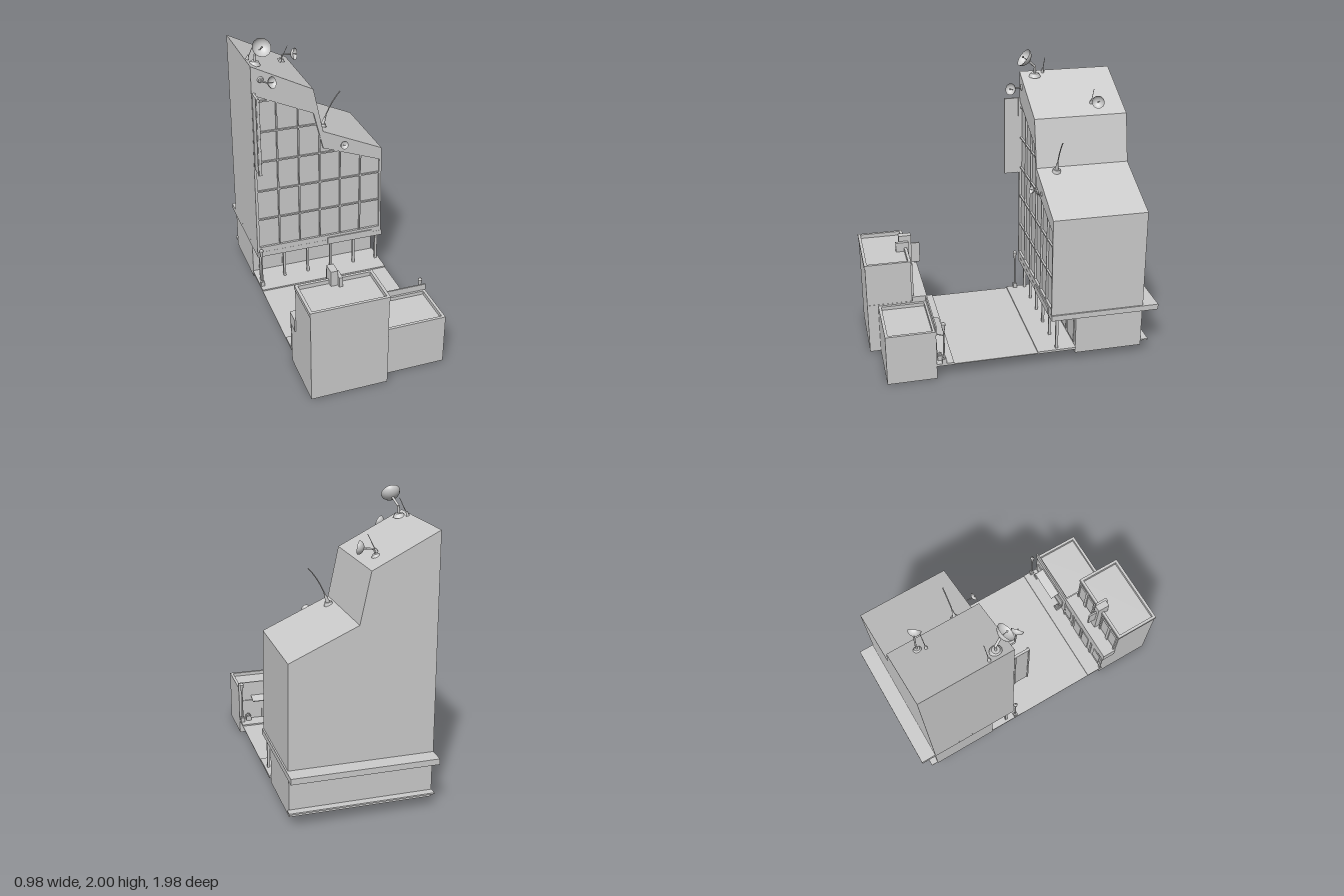
import * as THREE from 'three';

const mat = new THREE.MeshStandardMaterial({ color: 0xcccccc, flatShading: true, side: THREE.DoubleSide });
const smooth = new THREE.MeshStandardMaterial({ color: 0xcccccc, side: THREE.DoubleSide });

function add(parent, name, geo, m = mat) {
  const mesh = new THREE.Mesh(geo, m);
  mesh.name = name;
  parent.add(mesh);
  return mesh;
}

// Box from its limits on each axis
function block(parent, name, x0, x1, y0, y1, z0, z1) {
  const mesh = add(parent, name, new THREE.BoxGeometry(x1 - x0, y1 - y0, z1 - z0));
  mesh.position.set((x0 + x1) / 2, (y0 + y1) / 2, (z0 + z1) / 2);
  return mesh;
}

// Tapered rod between two points
function rod(parent, name, a, b, r0, r1 = r0) {
  const p = new THREE.Vector3(...a), d = new THREE.Vector3(...b).sub(p);
  const mesh = add(parent, name, new THREE.CylinderGeometry(r1, r0, d.length(), 8), smooth);
  mesh.position.copy(p).addScaledVector(d, 0.5);
  mesh.quaternion.setFromUnitVectors(new THREE.Vector3(0, 1, 0), d.normalize());
  return mesh;
}

// Building whose roof is sunk behind a parapet
function parapetBlock(parent, name, x0, x1, y0, y1, z0, z1, rim, sink, lip = 0) {
  const g = new THREE.Group();
  g.name = name;
  parent.add(g);
  block(g, 'walls', x0, x1, y0, y1 - sink, z0, z1);
  const [a, b, c, d] = [x0 - lip, x1 + lip, z0 - lip, z1 + lip];
  block(g, 'parapet', a, a + rim, y1 - sink, y1, c, d);
  block(g, 'parapet', b - rim, b, y1 - sink, y1, c, d);
  block(g, 'parapet', a + rim, b - rim, y1 - sink, y1, c, c + rim);
  block(g, 'parapet', a + rim, b - rim, y1 - sink, y1, d - rim, d);
}

// Dish with a foot, a bent arm and a feed horn
function dish(parent, foot, footNormal, centre, normal, r) {
  const g = new THREE.Group();
  g.name = 'satelliteDish';
  parent.add(g);
  const up = new THREE.Vector3(0, 1, 0);
  const n = new THREE.Vector3(...normal).normalize(), c = new THREE.Vector3(...centre);
  const profile = [];
  for (let i = 0; i <= 6; i++) {
    const t = (i / 6) * 1.45;
    profile.push(new THREE.Vector2(r * Math.sin(t), -r * 0.85 * Math.cos(t)));
  }
  const bowl = add(g, 'bowl', new THREE.LatheGeometry(profile, 16), smooth);
  bowl.position.copy(c);
  bowl.quaternion.setFromUnitVectors(up, n);
  const back = c.clone().addScaledVector(n, -r * 0.85);
  rod(g, 'feed', back.toArray(), c.toArray(), r * 0.04);
  add(g, 'feedHorn', new THREE.SphereGeometry(r * 0.12, 8, 6), smooth).position.copy(c);
  const fn = new THREE.Vector3(...footNormal).normalize();
  const base = add(g, 'foot', new THREE.CylinderGeometry(r * 0.4, r * 0.65, r * 0.4, 12), smooth);
  base.position.set(...foot);
  base.quaternion.setFromUnitVectors(up, fn);
  const elbow = new THREE.Vector3(...foot).addScaledVector(fn, r * 0.9);
  rod(g, 'arm', foot, elbow.toArray(), r * 0.13);
  rod(g, 'arm', elbow.toArray(), back.toArray(), r * 0.13);
}

function lamp(parent, x, z) {
  const g = new THREE.Group();
  g.name = 'streetLamp';
  g.position.set(x, 0, z);
  parent.add(g);
  block(g, 'lampFoot', -0.014, 0.014, 0.11, 0.145, -0.014, 0.014);
  rod(g, 'lampPost', [0, 0.14, 0], [0, 0.37, 0], 0.007, 0.005);
  rod(g, 'lampHead', [0, 0.36, 0], [0, 0.41, 0], 0.008, 0.015);
  rod(g, 'lampCap', [0, 0.41, 0], [0, 0.425, 0], 0.015, 0.004);
}

function outline(points, Type = THREE.Shape) {
  return new Type(points.map(p => new THREE.Vector2(...p)));
}

// Stepped top edge of the window wall, left to right
const crest = [[-0.47, 1.62], [-0.05, 1.43], [0.02, 1.15], [0.45, 0.99]];
function crossing(v, from, to) {
  for (let i = 0; i < 3; i++) {
    const a = crest[i], b = crest[i + 1];
    if ((v - a[from]) * (v - b[from]) <= 0) return a[to] + (b[to] - a[to]) * (v - a[from]) / (b[from] - a[from]);
  }
  return 0.455;
}

function tower() {
  const g = new THREE.Group();
  g.name = 'tower';
  const profile = [[-0.49, 0.36], [0.475, 0.36], [0.466, 1.08], [0.02, 1.28], [-0.05, 1.61], [-0.485, 1.83]];
  const opts = depth => ({ depth, bevelEnabled: false });
  add(g, 'towerBody', new THREE.ExtrudeGeometry(outline(profile), opts(0.64))).position.z = -0.88;
  const frame = outline(profile);
  frame.holes.push(outline([[-0.47, 0.42], ...crest, [0.46, 0.42]], THREE.Path));
  add(g, 'windowFrame', new THREE.ExtrudeGeometry(frame, opts(0.017))).position.z = -0.24;

  // Window bars end at the stepped crest
  for (let i = 1; i < 6; i++) {
    const x = -0.47 + i * 0.155;
    block(g, 'mullion', x - 0.005, x + 0.005, 0.42, crossing(x, 0, 1), -0.24, -0.226);
  }
  for (let y = 0.65; y < 1.6; y += 0.23) {
    block(g, 'transom', -0.47, crossing(y, 1, 0), y - 0.005, y + 0.005, -0.24, -0.226);
  }

  // Ground floor, ledge and arcade
  block(g, 'ledge', -0.49, 0.485, 0.34, 0.38, -0.99, -0.222);
  block(g, 'entranceBand', 0.05, 0.4, 0.35, 0.4, -0.23, -0.215);
  block(g, 'groundFloor', -0.485, 0.47, 0.06, 0.34, -0.88, -0.4);
  for (let i = 0; i < 6; i++) {
    const x = -0.46 + i * 0.183;
    block(g, 'column', x - 0.009, x + 0.009, 0.1, 0.34, -0.277, -0.259);
    if (i < 5) block(g, 'shopWindow', x + 0.02, x + 0.163, 0.13, 0.3, -0.4, -0.394);
  }

  // Upright side sign
  block(g, 'sideSign', -0.482, -0.466, 1.07, 1.64, -0.24, -0.11);
  for (const s of [-0.485, -0.463]) {
    for (const z of [-0.215, -0.118]) block(g, 'signTrim', s - 0.002, s + 0.002, 1.07, 1.64, z - 0.005, z + 0.005);
  }

  // Dishes and aerials
  dish(g, [-0.43, 1.815, -0.32], [0.1, 1, 0], [-0.4, 1.955, -0.225], [0.05, 0.6, 0.8], 0.066);
  dish(g, [-0.42, 1.73, -0.222], [0, 0, 1], [-0.36, 1.74, -0.125], [0.6, 0.3, 0.7], 0.042);
  dish(g, [-0.135, 1.66, -0.705], [0.3, 1, 0], [-0.035, 1.705, -0.665], [0.8, 0.1, 0.55], 0.045);
  dish(g, [0.165, 1.15, -0.222], [0, 0, 1], [0.155, 1.185, -0.15], [0.1, 0.3, 0.9], 0.03);
  rod(g, 'aerialFoot', [0.055, 1.255, -0.355], [0.06, 1.28, -0.355], 0.034, 0.025);
  rod(g, 'aerialCone', [0.06, 1.275, -0.355], [0.085, 1.34, -0.355], 0.015, 0.005);
  const whip = new THREE.QuadraticBezierCurve3(new THREE.Vector3(0.08, 1.33, -0.355),
    new THREE.Vector3(0.125, 1.44, -0.355), new THREE.Vector3(0.192, 1.512, -0.355));
  add(g, 'aerialWhip', new THREE.TubeGeometry(whip, 10, 0.004, 6), smooth);
  for (const [x, y, z] of [[-0.465, 1.82, -0.385], [-0.16, 1.66, -0.655]]) {
    rod(g, 'smallAerialFoot', [x, y, z], [x + 0.01, y + 0.03, z], 0.012, 0.006);
    rod(g, 'smallAerial', [x, y, z], [x + 0.06, y + 0.12, z], 0.003, 0.002);
  }
  return g;
}

function street() {
  const g = new THREE.Group();
  g.name = 'street';
  block(g, 'road', -0.488, 0.482, 0.094, 0.1, -0.4, 0.58);
  block(g, 'farPavement', -0.488, 0.482, 0.1, 0.11, -0.4, -0.13);
  block(g, 'nearPavement', -0.488, 0.482, 0.1, 0.11, 0.455, 0.58);
  block(g, 'backPavement', -0.488, 0.482, 0.1, 0.11, -0.93, -0.88);
  lamp(g, -0.47, -0.192);
  lamp(g, 0.47, 0.52);
  for (const x of [0.11, 0.42]) {
    block(g, 'planter', x - 0.018, x + 0.018, 0.11, 0.145, 0.525, 0.56);
    add(g, 'plant', new THREE.IcosahedronGeometry(0.017, 0)).position.set(x, 0.15, 0.542);
  }
  return g;
}

function shops() {
  const g = new THREE.Group();
  g.name = 'shops';
  // Taller shop with a set-back upper floor
  block(g, 'tallShopBase', -0.48, 0.045, 0, 0.37, 0.57, 0.985);
  block(g, 'shopFascia', -0.488, 0.05, 0.315, 0.405, 0.567, 0.67);
  parapetBlock(g, 'tallShopUpper', -0.48, 0.043, 0.37, 0.68, 0.672, 0.985, 0.02, 0.028, 0.005);
  for (const x of [-0.425, -0.325, -0.12, -0.02]) {
    block(g, 'upperWindow', x - 0.036, x + 0.036, 0.42, 0.62, 0.664, 0.672);
    for (const s of [-1, 1]) block(g, 'windowPier', x + s * 0.044 - 0.006, x + s * 0.044 + 0.006, 0.405, 0.652, 0.657, 0.672);
  }
  block(g, 'signTower', -0.255, -0.207, 0.4, 0.76, 0.632, 0.72);
  block(g, 'signFin', -0.207, -0.182, 0.4, 0.72, 0.655, 0.745);
  block(g, 'bladeSign', -0.237, -0.225, 0.54, 0.69, 0.572, 0.632);
  // Street front of the taller shop
  for (const x of [-0.41, -0.25, -0.14, 0.0]) {
    const door = x === -0.25 || x === -0.14;
    block(g, door ? 'door' : 'displayWindow', x - 0.04, x + 0.04, door ? 0.11 : 0.16, 0.295, 0.564, 0.572);
  }
  for (const x of [-0.475, -0.33, -0.195, -0.075, 0.04]) block(g, 'frontPier', x - 0.008, x + 0.008, 0.1, 0.315, 0.562, 0.572);

  // Lower shop with an awning
  parapetBlock(g, 'lowShop', 0.05, 0.482, 0, 0.362, 0.572, 0.91, 0.02, 0.025);
  block(g, 'lowShopFascia', 0.045, 0.486, 0.34, 0.405, 0.567, 0.577);
  const awning = block(g, 'awning', 0.15, 0.39, -0.003, 0.003, -0.036, 0.036);
  awning.position.set(0.27, 0.282, 0.537);
  awning.rotation.x = -0.33;
  block(g, 'shopDoor', 0.23, 0.31, 0.11, 0.26, 0.564, 0.572);
  for (const x of [0.14, 0.4]) block(g, 'shopWindow', x - 0.055, x + 0.055, 0.16, 0.26, 0.564, 0.572);
  return g;
}

export function createModel() {
  const model = new THREE.Group();
  model.name = 'cityBlock';
  model.add(tower(), street(), shops());
  return model;
}
